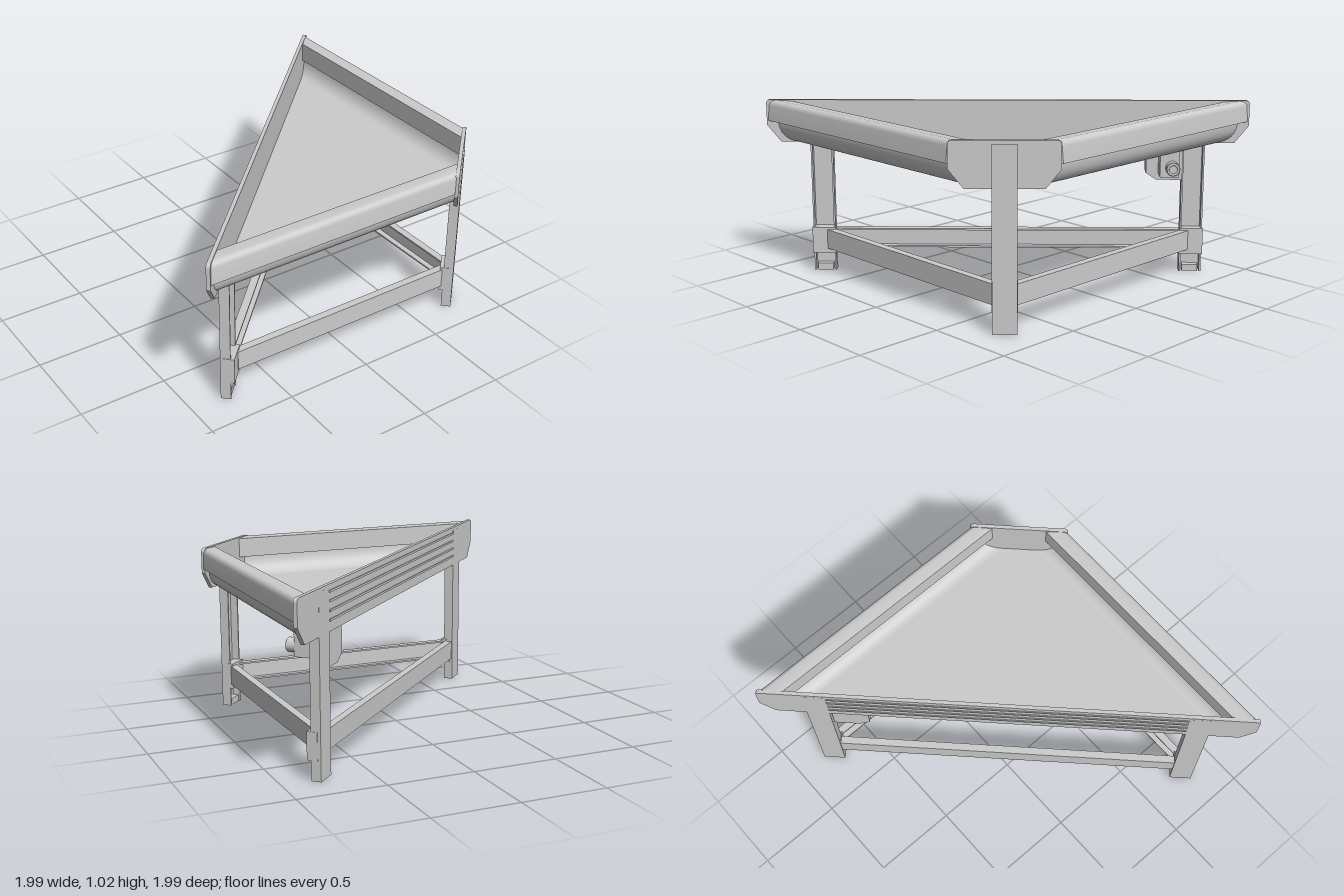
import * as THREE from 'three';
import { toCreasedNormals } from 'three/addons/utils/BufferGeometryUtils.js';

const R2 = Math.SQRT2;
const material = new THREE.MeshStandardMaterial({ color: 0xcccccc, side: THREE.DoubleSide });

function add(parent, name, geometry, x = 0, y = 0, z = 0, turn = 0) {
  const mesh = new THREE.Mesh(geometry, material);
  mesh.name = name;
  mesh.position.set(x, y, z);
  mesh.rotation.y = turn;
  parent.add(mesh);
  return mesh;
}

const box = (w, h, d) => new THREE.BoxGeometry(w, h, d);
const polygon = (pts) => new THREE.Shape(pts.map(([x, y]) => new THREE.Vector2(x, y)));
const extrude = (shape, depth) =>
  new THREE.ExtrudeGeometry(shape, { depth, bevelEnabled: false, curveSegments: 8 });

// U-channel running along z, open towards -x
function channel(depth, height, length, t = 0.01) {
  const a = depth / 2, b = height / 2;
  const g = extrude(polygon([
    [-a, -b], [a, -b], [a, b], [-a, b],
    [-a, b - t], [a - t, b - t], [a - t, -b + t], [-a, -b + t],
  ]), length);
  return g.translate(0, 0, -length / 2);
}

// Upright plate with rounded top corners and cut-off lower corners
function plate(half, cut, thickness) {
  const s = new THREE.Shape();
  const top = 1.018, low = 0.77, r = 0.025;
  s.moveTo(-half + cut, low);
  s.lineTo(half - cut, low);
  s.lineTo(half, 0.87);
  s.lineTo(half, top - r);
  s.quadraticCurveTo(half, top, half - r, top);
  s.lineTo(-half + r, top);
  s.quadraticCurveTo(-half, top, -half, top - r);
  s.lineTo(-half, 0.87);
  return extrude(s, thickness);
}

// Sweeps a (inset, height) profile along a short side, mitred to the long back and the corner
const BACK = 0, CORNER = 1.1, EDGE = 0.985;
const along = (n, inset) => n - R2 * (EDGE - inset);
function sideSweep(shape, side) {
  const g = extrude(shape, 1);
  const p = g.attributes.position;
  for (let i = 0; i < p.count; i++) {
    const d = p.getX(i);
    const atCorner = (p.getZ(i) > 0.5) === (side > 0);
    const n = atCorner ? CORNER : BACK;
    p.setXYZ(i, side * along(n, d), p.getY(i), n);
  }
  g.computeVertexNormals();
  return toCreasedNormals(g, 0.6);
}

export function createModel() {
  const model = new THREE.Group();
  model.name = 'cornerTable';
  // Work with the long back along x and the cut corner towards +z
  const table = new THREE.Group();
  table.name = 'table';
  table.rotation.y = Math.PI / 4;
  model.add(table);

  // Padded top rail
  const rail = new THREE.Shape();
  rail.moveTo(0.1, 0.895);
  rail.lineTo(0.1, 1.01);
  rail.lineTo(0.035, 1.015);
  rail.quadraticCurveTo(0.008, 1.012, 0.005, 0.985);
  rail.lineTo(0, 0.895);

  // Curved lower tray wall, a thin sheet
  const wall = new THREE.Shape();
  wall.moveTo(0.04, 0.9);
  wall.bezierCurveTo(0.04, 0.83, 0.07, 0.77, 0.14, 0.77);
  wall.lineTo(0.14, 0.78);
  wall.bezierCurveTo(0.085, 0.78, 0.05, 0.83, 0.05, 0.9);

  for (const side of [1, -1]) {
    add(table, side > 0 ? 'frontRail' : 'sideRail', sideSweep(rail, side));
    add(table, side > 0 ? 'frontTrayWall' : 'sideTrayWall', sideSweep(wall, side));
  }

  // Tray floor
  const a = along(BACK, 0.139), b = along(CORNER, 0.139);
  const floor = extrude(polygon([[a, BACK], [-a, BACK], [-b, CORNER], [b, CORNER]]), 0.01);
  add(table, 'trayFloor', floor.rotateX(Math.PI / 2), 0, 0.78, 0);

  // End plates: the long back wall and the cut corner
  add(table, 'backWall', plate(1.397, 0.08, 0.022), 0, 0, -0.017);
  add(table, 'cornerPlate', plate(0.285, 0.08, 0.022), 0, 0, 1.095);
  for (const y of [0.83, 0.88, 0.93, 0.98]) {
    add(table, 'backWallRib', box(2.02, 0.012, 0.006), 0, y, -0.019);
  }

  // Legs: [x, z, direction of the open side]
  const legs = [[-1.078, 0.0106, 1], [1.078, 0.0106, 1], [0, 1.096, -1]];
  const W = 0.13, D = 0.056, LOW = 0.77;
  for (const [x, z, open] of legs) {
    const leg = new THREE.Group();
    leg.name = 'leg';
    leg.position.set(x, 0, z);
    leg.rotation.y = open * Math.PI / 2;
    table.add(leg);
    add(leg, 'legChannel', channel(D, W, LOW).rotateX(-Math.PI / 2), 0, LOW / 2, 0);
    add(leg, 'legTopPlate', box(0.012, 0.23, W), D / 2 - 0.006, 0.885, 0);
    add(leg, 'beamBracket', box(0.06, 0.155, W + 0.006), -0.02, 0.19, 0);
    add(leg, 'foot', box(0.04, 0.04, 0.09), -0.003, 0.02, 0);
  }

  // Lower beams joining the legs, open inwards
  legs.forEach(([x0, z0], i) => {
    const [x1, z1] = legs[(i + 1) % 3];
    const dx = x1 - x0, dz = z1 - z0;
    add(table, 'lowerBeam', channel(0.045, 0.115, Math.hypot(dx, dz) - 0.1),
      (x0 + x1) / 2, 0.197, (z0 + z1) / 2, Math.atan2(dx, dz));
  });

  // Drain unit under the tray, next to one back leg
  const housing = polygon([[0.8, 0.77], [0.8, 0.61], [0.86, 0.57], [1.01, 0.57], [1.01, 0.77]]);
  add(table, 'drainHousing', extrude(housing, 0.09), 0, 0, 0.005);
  add(table, 'drainBlock', box(0.11, 0.16, 0.11), 0.925, 0.69, 0.145);
  const knob = new THREE.CylinderGeometry(0.04, 0.04, 0.05, 24).rotateX(Math.PI / 2);
  add(table, 'drainKnob', knob, 0.94, 0.665, 0.222);
  add(table, 'knobRim', new THREE.TorusGeometry(0.03, 0.007, 8, 24), 0.94, 0.665, 0.247);

  return model;
}
